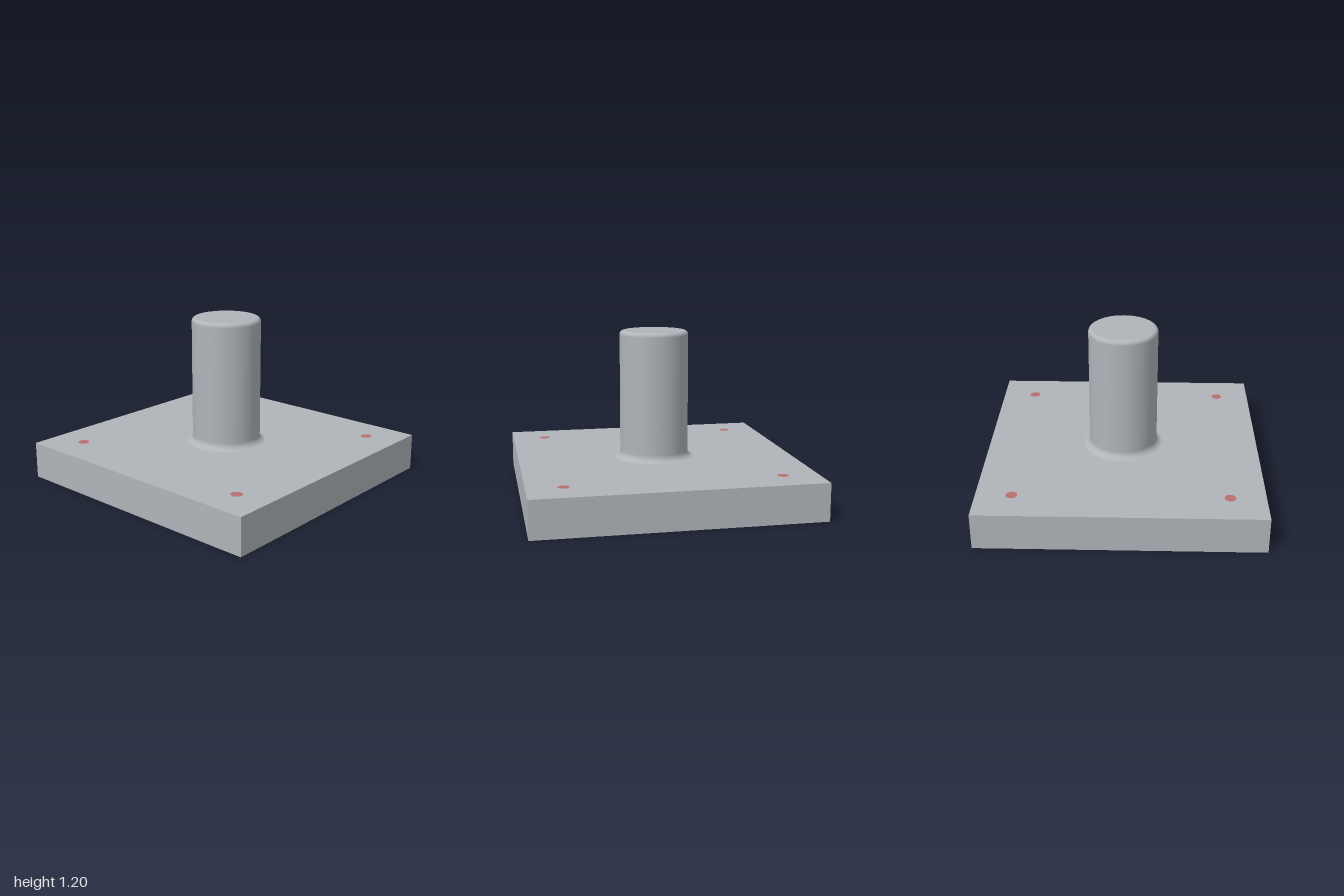
import * as THREE from 'three';

const PLATE_H = 0.267, SHAFT_R = 0.25, TOP_Y = 1.2;
const BASE_FILLET = 0.05, TOP_ROUND = 0.03;
const PIN_R = 0.04, PIN_OFFSET = 0.75;

export function createModel() {
  const model = new THREE.Group();
  model.name = 'mountingPost';

  const steel = new THREE.MeshStandardMaterial({ color: 0xb0b5ba });
  steel.name = 'steel grey';
  const red = new THREE.MeshStandardMaterial({ color: 0xb86e6e });
  red.name = 'dull red';

  const add = (geometry, material, name) => {
    const mesh = new THREE.Mesh(geometry, material);
    mesh.name = name;
    model.add(mesh);
    return mesh;
  };

  // Square base plate with a hole near each corner
  const outline = new THREE.Shape([[-1, -1], [1, -1], [1, 1], [-1, 1]].map(([x, y]) => new THREE.Vector2(x, y)));
  const corners = [[-1, -1], [1, -1], [1, 1], [-1, 1]].map(([x, z]) => [x * PIN_OFFSET, z * PIN_OFFSET]);
  for (const [x, z] of corners) {
    outline.holes.push(new THREE.Path().absarc(x, z, PIN_R, 0, Math.PI * 2, true));
  }
  const plate = new THREE.ExtrudeGeometry(outline, { depth: PLATE_H, bevelEnabled: false, curveSegments: 16 });
  plate.rotateX(-Math.PI / 2);
  add(plate, steel, 'basePlate');

  // Pins filling the holes, flush with both faces of the plate
  for (const [x, z] of corners) {
    const pin = add(new THREE.CylinderGeometry(PIN_R, PIN_R, PLATE_H, 32), red, 'cornerPin');
    pin.position.set(x, PLATE_H / 2, z);
  }

  // Shaft: concave fillet at the foot, rounded rim and flat top
  const profile = [];
  const arc = (cx, cy, r, from, to) => {
    for (let i = 0; i <= 10; i++) {
      const a = from + (to - from) * i / 10;
      profile.push(new THREE.Vector2(cx + r * Math.cos(a), cy + r * Math.sin(a)));
    }
  };
  const point = (x, y) => profile.push(new THREE.Vector2(x, y));
  arc(SHAFT_R + BASE_FILLET, PLATE_H + BASE_FILLET, BASE_FILLET, Math.PI * 1.5, Math.PI);
  point(SHAFT_R, PLATE_H + BASE_FILLET + 0.005);
  point(SHAFT_R, TOP_Y - TOP_ROUND - 0.005);
  arc(SHAFT_R - TOP_ROUND, TOP_Y - TOP_ROUND, TOP_ROUND, 0, Math.PI / 2);
  point(SHAFT_R - TOP_ROUND - 0.005, TOP_Y);
  point(0, TOP_Y);
  add(new THREE.LatheGeometry(profile, 64), steel, 'shaft');

  return model;
}
